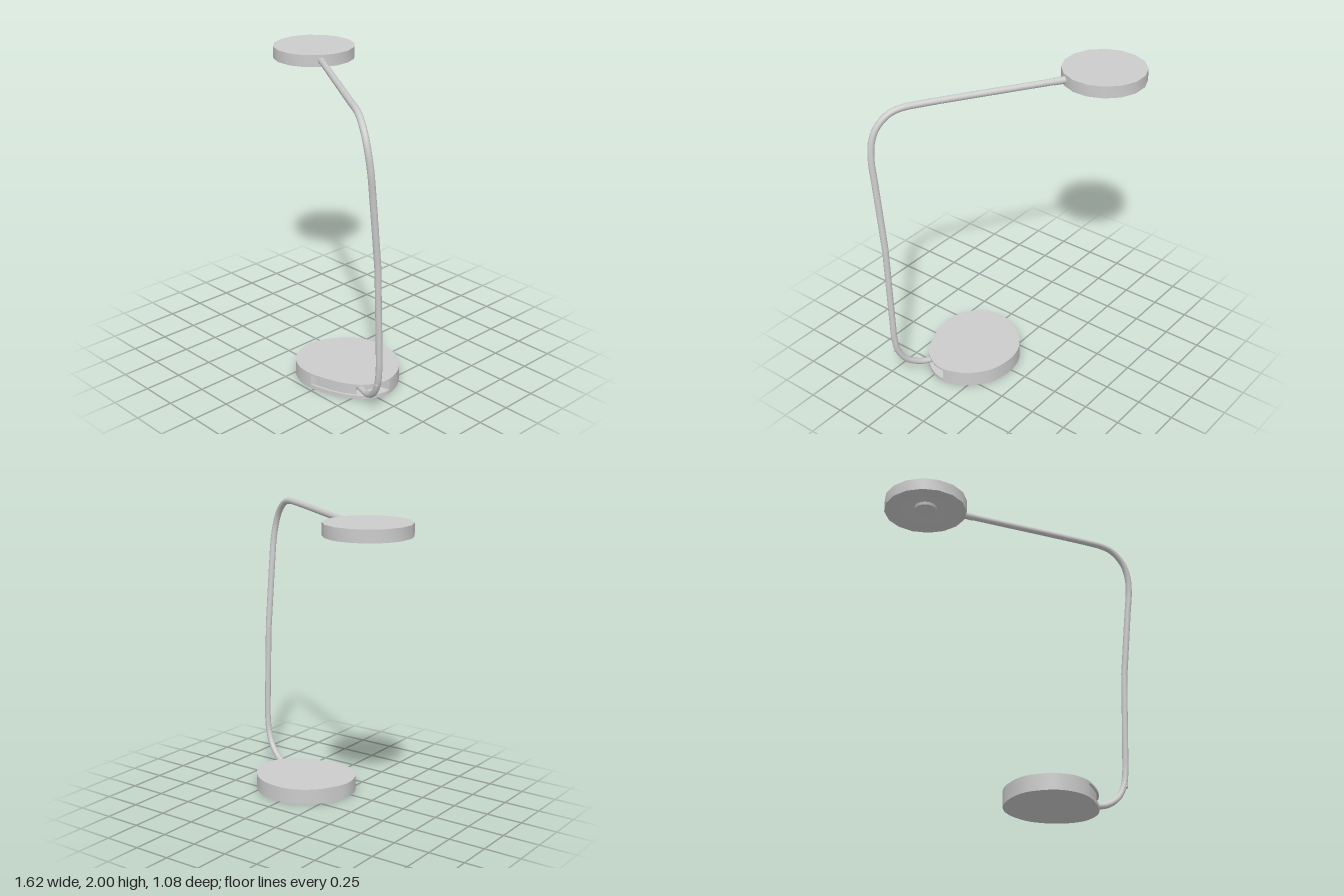
import * as THREE from 'three';
import { toCreasedNormals } from 'three/addons/utils/BufferGeometryUtils.js';

const material = new THREE.MeshStandardMaterial({ color: 0xcccccc });
const v = (p) => new THREE.Vector3(...p);

function addMesh(parent, name, geometry) {
  const mesh = new THREE.Mesh(geometry, material);
  mesh.name = name;
  parent.add(mesh);
  return mesh;
}

// Flat slab from an outline of [x, z] points, between two heights
function slab(outline, y0, y1) {
  const shape = new THREE.Shape(outline.map(([x, z]) => new THREE.Vector2(x, -z)));
  const geometry = new THREE.ExtrudeGeometry(shape, { depth: y1 - y0, bevelEnabled: false });
  geometry.rotateX(-Math.PI / 2).translate(0, y0, 0);
  return toCreasedNormals(geometry, 0.5);
}

// Round bar through a list of points
function rod(points, radius, segments) {
  const curve = new THREE.CatmullRomCurve3(points.map(v), false, 'centripetal');
  return new THREE.TubeGeometry(curve, segments, radius, 12, false);
}

// Straight cylinder between two points
function cylinderBetween(a, b, radius) {
  const from = v(a), to = v(b);
  const dir = to.clone().sub(from);
  const geometry = new THREE.CylinderGeometry(radius, radius, dir.length(), 12);
  const turn = new THREE.Quaternion().setFromUnitVectors(new THREE.Vector3(0, 1, 0), dir.normalize());
  geometry.applyQuaternion(turn);
  const mid = from.add(to).multiplyScalar(0.5);
  return geometry.translate(mid.x, mid.y, mid.z);
}

function createBase() {
  const base = new THREE.Group();
  base.name = 'base';
  const control = [
    [0.265, -0.135], [0.41, -0.11], [0.51, -0.045], [0.59, 0.06], [0.62, 0.19],
    [0.565, 0.32], [0.48, 0.39], [0.35, 0.445], [0.18, 0.478], [0.05, 0.443],
    [-0.035, 0.365], [-0.083, 0.2], [-0.02, 0.03], [0.07, -0.07], [0.16, -0.118],
  ];
  const curve = new THREE.CatmullRomCurve3(control.map(([x, z]) => v([x, 0, z])), true);
  const outline = curve.getPoints(120).slice(0, -1).map((p) => [p.x, p.z]);

  // The core steps inwards at the front right corner, leaving the arm slot
  const cx = 0.27, cz = 0.17;
  const core = outline.map(([x, z]) => {
    const inSlot = x > 0.24 && z > 0.16;
    const k = !inSlot ? 1 : x < 0.53 ? 0.95 : 0.78;
    return [cx + (x - cx) * k, cz + (z - cz) * k];
  });
  addMesh(base, 'basePlate', slab(outline, 0, 0.025));
  addMesh(base, 'baseCore', slab(core, 0.025, 0.094));
  addMesh(base, 'baseLid', slab(outline, 0.094, 0.106));
  return base;
}

function createArm() {
  const arm = new THREE.Group();
  arm.name = 'arm';
  addMesh(arm, 'lowerArm', rod([
    [0.44, 0.06, 0.28], [0.55, 0.06, 0.325], [0.63, 0.08, 0.36], [0.72, 0.148, 0.397],
    [0.768, 0.24, 0.416], [0.785, 0.35, 0.423], [0.787, 0.45, 0.426], [0.787, 1.03, 0.446],
  ], 0.0205, 60));
  addMesh(arm, 'upperArm', rod([
    [0.787, 1.03, 0.446], [0.787, 1.5, 0.495], [0.786, 1.65, 0.512], [0.77, 1.76, 0.518],
    [0.74, 1.84, 0.51], [0.695, 1.9, 0.49], [0.64, 1.94, 0.462], [0.575, 1.957, 0.426],
    [0.49, 1.96, 0.376], [-0.26, 1.96, -0.096],
  ], 0.0215, 80));
  addMesh(arm, 'headConnector', cylinderBetween([-0.36, 1.96, -0.159], [-0.25, 1.96, -0.09], 0.024));
  addMesh(arm, 'armScrew', cylinderBetween([0.768, 0.235, 0.416], [0.776, 0.23, 0.44], 0.012));
  return arm;
}

function createHead() {
  // Faceted disc with a dished underside and a small lens in the middle
  const profile = [
    [0, 1.932], [0.07, 1.932], [0.075, 1.95], [0.16, 1.925],
    [0.175, 1.92], [0.275, 1.92], [0.275, 2], [0, 2],
  ].map(([r, y]) => new THREE.Vector2(r, y));
  const geometry = new THREE.LatheGeometry(profile, 16, Math.PI / 16);
  const head = new THREE.Group();
  head.name = 'lampHead';
  addMesh(head, 'lampDisc', toCreasedNormals(geometry, 0.5)).position.set(-0.543, 0, -0.272);
  return head;
}

export function createModel() {
  const lamp = new THREE.Group();
  lamp.name = 'deskLamp';
  lamp.add(createBase(), createArm(), createHead());
  return lamp;
}
